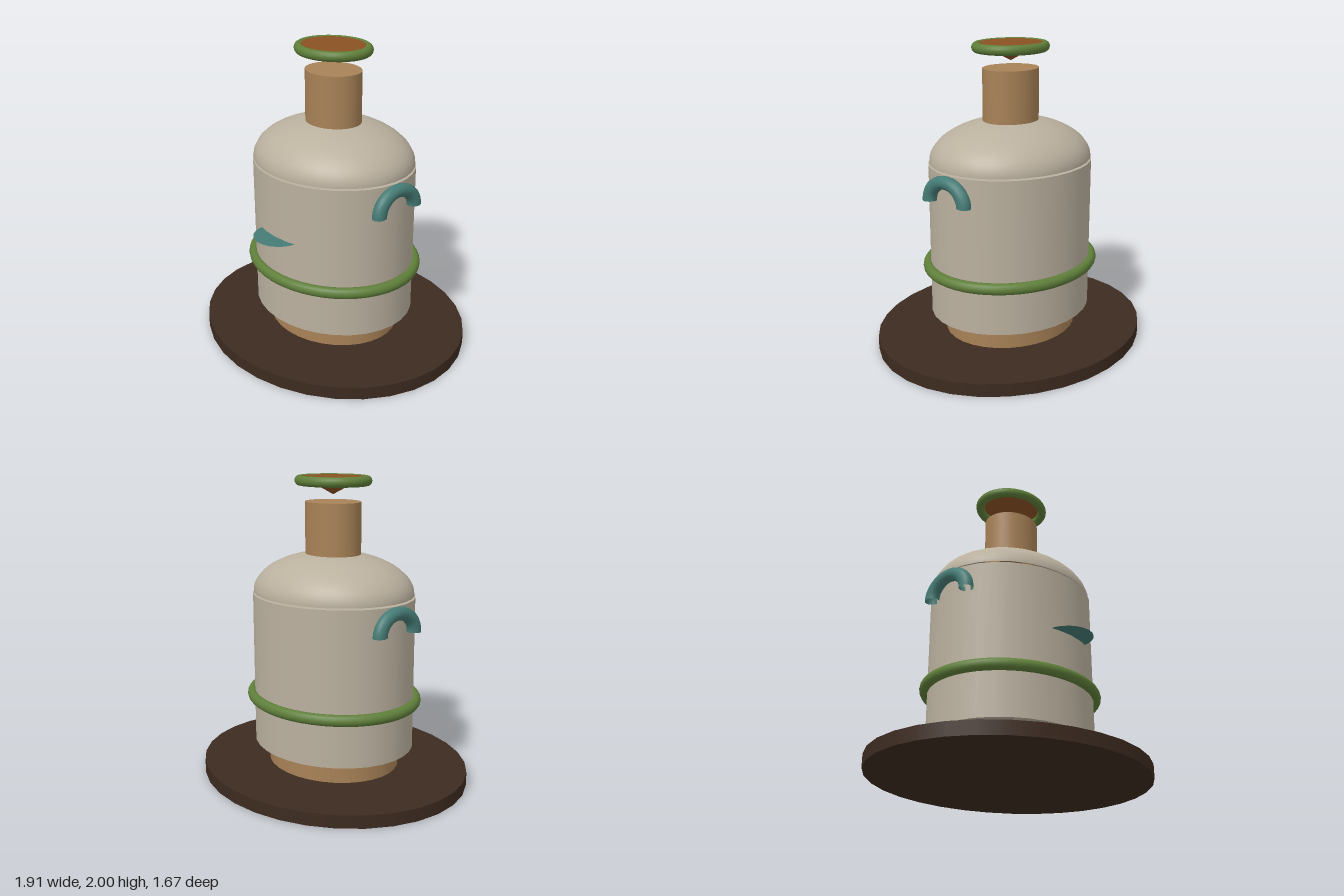
import * as THREE from 'three';

const SEGMENTS = 32;
const DEPTH = 0.872; // every round part is an oval, narrower front to back

const paint = (name, color) => {
  const m = new THREE.MeshStandardMaterial({ color, side: THREE.DoubleSide });
  m.name = name;
  return m;
};

export function createModel() {
  const model = new THREE.Group();
  const darkBrown = paint('dark brown', 0x3d2b20);
  const tan = paint('tan', 0xa88257);
  const beige = paint('beige', 0xbab09e);
  const green = paint('green', 0x5f7f3a);
  const teal = paint('teal', 0x467c76);
  const rust = paint('rust brown', 0x8a5222);

  const add = (name, geometry, material, x = 0, y = 0, z = 0) => {
    const mesh = new THREE.Mesh(geometry, material);
    mesh.name = name;
    mesh.position.set(x, y, z);
    model.add(mesh);
    return mesh;
  };

  // Upright oval drum between two heights
  const drum = (name, radius, y0, y1, material) => {
    const g = new THREE.CylinderGeometry(radius, radius, y1 - y0, SEGMENTS);
    add(name, g, material, 0, (y0 + y1) / 2).scale.z = DEPTH;
  };

  // Horizontal oval ring
  const ring = (name, radius, tube, y) => {
    const g = new THREE.TorusGeometry(radius, tube, 16, 48).rotateX(Math.PI / 2);
    add(name, g, green, 0, y).scale.z = DEPTH;
  };

  // Stacked body
  drum('base', 0.957, 0, 0.085, darkBrown);
  drum('foot', 0.47, 0.085, 0.222, tan);
  drum('body', 0.573, 0.225, 1.235, beige);
  drum('neck', 0.195, 1.45, 1.835, tan);

  // Open dome floating just above the body
  const dome = new THREE.SphereGeometry(1, SEGMENTS, 16, 0, Math.PI * 2, 0, Math.PI / 2);
  add('dome', dome, beige, 0, 1.246).scale.set(0.567, 0.27, 0.567 * DEPTH);

  // Lower band and lid rim
  ring('band', 0.588, 0.037, 0.545);
  ring('lidRim', 0.235, 0.032, 1.968);

  // Lid: a cone pointing down, its flat side up
  const lid = new THREE.ConeGeometry(0.225, 0.115, SEGMENTS).rotateX(Math.PI);
  add('lid', lid, rust, 0, 1.9375).scale.z = DEPTH;

  // Arched handles on both sides
  for (const side of [-1, 1]) {
    const handle = add(side > 0 ? 'leftHandle' : 'rightHandle',
      new THREE.TorusGeometry(0.15, 0.049, 14, 24, 3.2), teal, side * 0.586, 1.063);
    handle.rotation.y = Math.PI / 2;
    handle.scale.set(1, 0.87, 0.87);
  }

  // Flat lip at the front
  add('lip', new THREE.CircleGeometry(0.17, 24).rotateX(-Math.PI / 2), teal, 0, 0.83, 0.46);

  return model;
}
